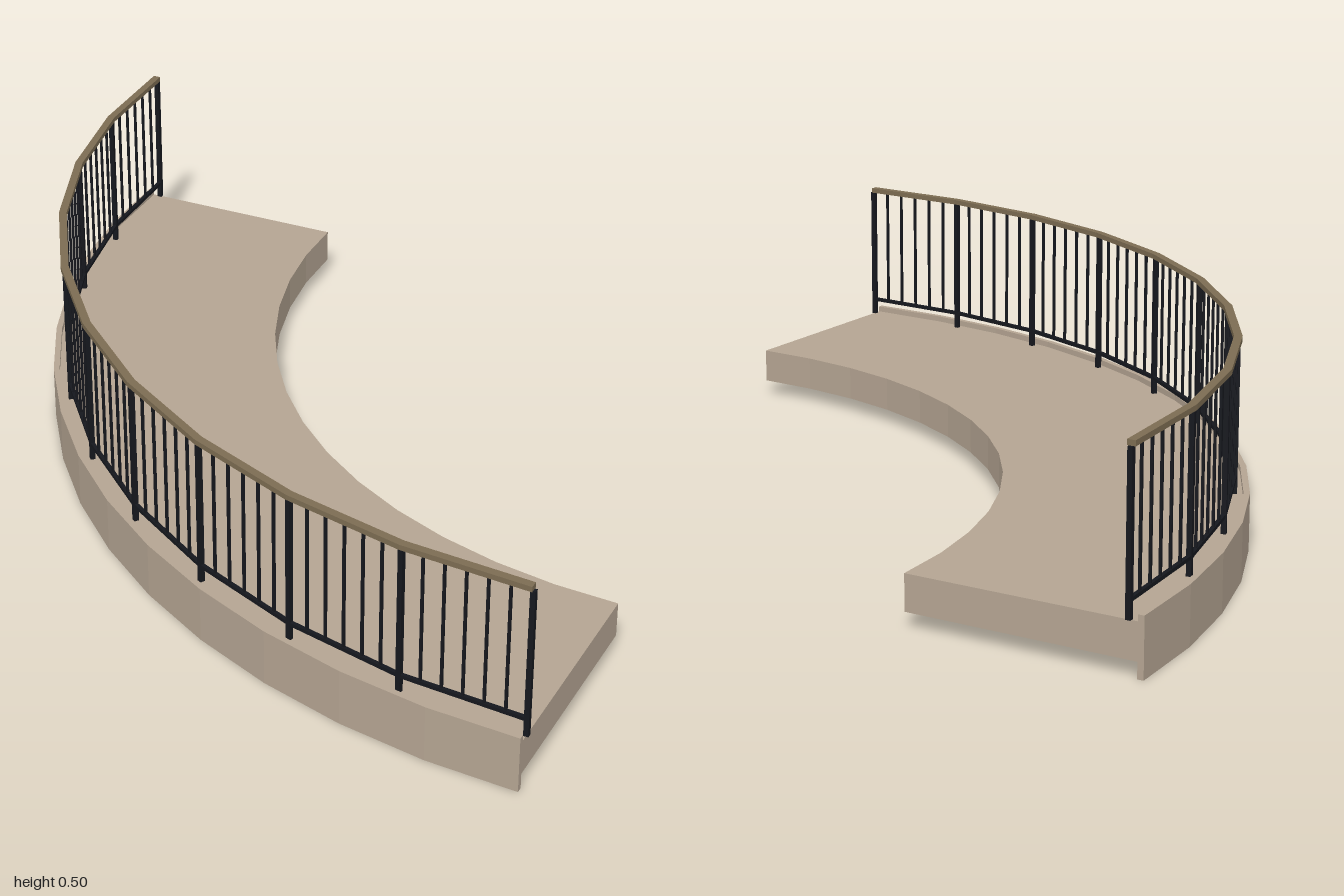
import * as THREE from 'three';

const C = 0.993;            // arc centre is at (C, -C)
const RAIL_R = 1.957;       // railing radius
const BAYS = 10;            // straight railing bays
const PER_BAY = 6;          // baluster spacings in a bay

const concrete = new THREE.MeshStandardMaterial({ color: 0xb4a492 });
concrete.name = 'concrete';
const iron = new THREE.MeshStandardMaterial({ color: 0x15171d });
iron.name = 'iron';
const wood = new THREE.MeshStandardMaterial({ color: 0x7c6c52 });
wood.name = 'wood';

// point on a quarter arc, a = 0 at the back left end, PI/2 at the front right end
function arcPoint(r, a) {
  return new THREE.Vector2(C - r * Math.cos(a), -C + r * Math.sin(a));
}

// faceted quarter ring between two radii and two heights
function arcBand(name, material, r0, r1, y0, y1, segments) {
  const outer = [], inner = [];
  for (let i = 0; i <= segments; i++) {
    const a = (i / segments) * Math.PI / 2;
    const o = arcPoint(r1, a), n = arcPoint(r0, a);
    outer.push(new THREE.Vector2(o.x, -o.y));
    inner.unshift(new THREE.Vector2(n.x, -n.y));
  }
  const geometry = new THREE.ExtrudeGeometry(new THREE.Shape([...outer, ...inner]), {
    depth: y1 - y0, bevelEnabled: false,
  });
  geometry.rotateX(-Math.PI / 2);
  geometry.translate(0, y0, 0);
  const mesh = new THREE.Mesh(geometry, material);
  mesh.name = name;
  return mesh;
}

// square upright bar, turned to face the arc centre
function upright(name, size, y0, y1, p, angle) {
  const mesh = new THREE.Mesh(new THREE.BoxGeometry(size, y1 - y0, size), iron);
  mesh.position.set(p.x, (y0 + y1) / 2, p.y);
  mesh.rotation.y = angle;
  mesh.name = name;
  return mesh;
}

export function createModel() {
  const model = new THREE.Group();
  model.name = 'curvedBalcony';

  // floor slab and the taller edge band around its outside
  model.add(arcBand('floorSlab', concrete, 1.41, 1.978, 0.038, 0.125, 14));
  model.add(arcBand('edgeBand', concrete, 1.978, 1.993, 0, 0.14, 14));

  // railing
  const railing = new THREE.Group();
  railing.name = 'railing';
  railing.add(arcBand('handrail', wood, RAIL_R - 0.01, RAIL_R + 0.01, 0.491, 0.504, BAYS));
  railing.add(arcBand('bottomRail', iron, RAIL_R - 0.005, RAIL_R + 0.005, 0.163, 0.172, BAYS));

  const step = Math.PI / 2 / BAYS;
  for (let i = 0; i <= BAYS; i++) {
    const start = arcPoint(RAIL_R, i * step);
    railing.add(upright('post', 0.012, 0.125, 0.491, start, i * step));
    if (i === BAYS) break;
    // balusters along the straight bay
    const end = arcPoint(RAIL_R, (i + 1) * step);
    for (let j = 1; j < PER_BAY; j++) {
      const p = start.clone().lerp(end, j / PER_BAY);
      railing.add(upright('baluster', 0.006, 0.168, 0.491, p, (i + 0.5) * step));
    }
  }
  model.add(railing);
  return model;
}
